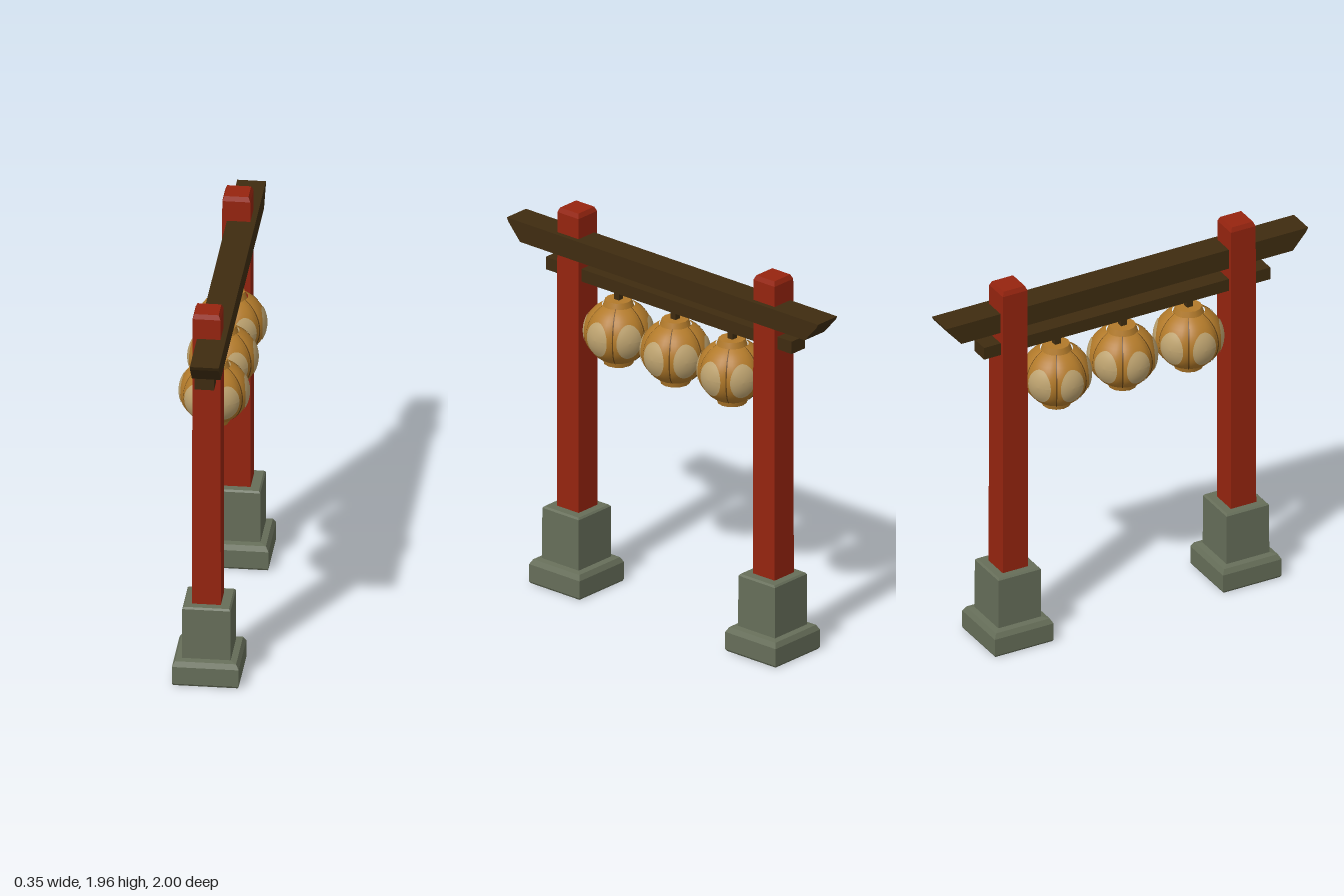
import * as THREE from 'three';

const paint = (name, color) => {
  const m = new THREE.MeshStandardMaterial({ color });
  m.name = name;
  return m;
};

// Square column from [height, half width] levels, with flat faces
function squareLoft(levels) {
  const pts = levels.map(([y, h]) => new THREE.Vector2(h * Math.SQRT2, y));
  pts.unshift(new THREE.Vector2(0, levels[0][0]));
  pts.push(new THREE.Vector2(0, levels.at(-1)[0]));
  const g = new THREE.LatheGeometry(pts, 4, Math.PI / 4).toNonIndexed();
  g.computeVertexNormals();
  return g;
}

// Bends a flat geometry (x = degrees around, y = degrees up) onto one lantern panel
function wrapPanel(geometry, lift) {
  const p = geometry.attributes.position;
  for (let i = 0; i < p.count; i++) {
    const a = THREE.MathUtils.degToRad(p.getX(i));
    const u = THREE.MathUtils.degToRad(p.getY(i));
    const lobe = 1 - 0.05 * Math.pow(Math.abs(p.getX(i)) / 30, 4);
    const r = 0.17 * Math.cos(u) * lobe + lift;
    p.setXYZ(i, r * Math.sin(a), (0.16 + lift) * Math.sin(u), r * Math.cos(a));
  }
  geometry.computeVertexNormals();
  return geometry;
}

export function createModel() {
  const red = paint('red lacquer', 0x96240f);
  const wood = paint('dark wood', 0x3f2c10);
  const stone = paint('grey stone', 0x666e59);
  const gold = paint('lantern gold', 0xb27a2a);
  const cream = paint('lantern glow', 0xbfa470);
  const seam = paint('lantern seam', 0x664416);

  const model = new THREE.Group();
  model.name = 'lanternGate';
  const add = (parent, name, geometry, material, x = 0, y = 0, z = 0) => {
    const mesh = new THREE.Mesh(geometry, material);
    mesh.name = name;
    mesh.position.set(x, y, z);
    parent.add(mesh);
    return mesh;
  };

  // Posts on stepped stone footings
  const footing = squareLoft([[0, 0.156], [0.01, 0.162], [0.1, 0.162], [0.125, 0.148],
    [0.13, 0.118], [0.393, 0.117], [0.402, 0.109]]);
  const post = squareLoft([[0.38, 0.07], [1.94, 0.068], [1.963, 0.058]]);
  for (const side of [1, -1]) {
    add(model, 'footing', footing, stone, 0.005, 0, side * 0.63);
    add(model, 'post', post, red, 0, 0, side * 0.63);
  }

  // Top beam with undercut ends
  const profile = new THREE.Shape([[-1, 1.835], [-0.99, 1.815], [-0.915, 1.73],
    [0.915, 1.73], [0.99, 1.815], [1, 1.835]].map(([x, y]) => new THREE.Vector2(x, y)));
  const beam = new THREE.ExtrudeGeometry(profile, { depth: 0.14, bevelEnabled: false });
  beam.translate(0, 0, -0.07).rotateY(-Math.PI / 2);
  add(model, 'topBeam', beam, wood, 0.024);

  // Lower tie beam
  add(model, 'tieBeam', new THREE.BoxGeometry(0.095, 0.065, 1.58), wood, 0, 1.64, 0);

  // Lantern pieces shared by all three
  const panel = wrapPanel(new THREE.PlaneGeometry(60, 124, 10, 16), 0);
  const glow = wrapPanel(new THREE.RingGeometry(0, 1, 28, 5).scale(22, 33, 1), 0.003);
  const rib = wrapPanel(new THREE.PlaneGeometry(2.4, 124, 1, 16).translate(-28.8, 0, 0), 0.003);
  const lowerCollar = new THREE.CylinderGeometry(0.082, 0.072, 0.035, 12);
  const upperCollar = new THREE.CylinderGeometry(0.065, 0.077, 0.035, 12);
  const hanger = new THREE.BoxGeometry(0.032, 0.08, 0.032);

  for (const z of [0.365, 0, -0.365]) {
    const lantern = new THREE.Group();
    lantern.name = 'lantern';
    lantern.position.set(0, 1.39, z);
    for (let k = 0; k < 6; k++) {
      const turn = Math.PI / 6 + k * Math.PI / 3;
      add(lantern, 'lanternPanel', panel, gold).rotation.y = turn;
      add(lantern, 'lanternGlow', glow, cream).rotation.y = turn;
      add(lantern, 'lanternSeam', rib, seam).rotation.y = turn;
    }
    add(lantern, 'lowerCollar', lowerCollar, gold, 0, -0.148, 0);
    add(lantern, 'upperCollar', upperCollar, gold, 0, 0.15, 0);
    add(lantern, 'hanger', hanger, wood, 0, 0.195, 0);
    model.add(lantern);
  }
  return model;
}
